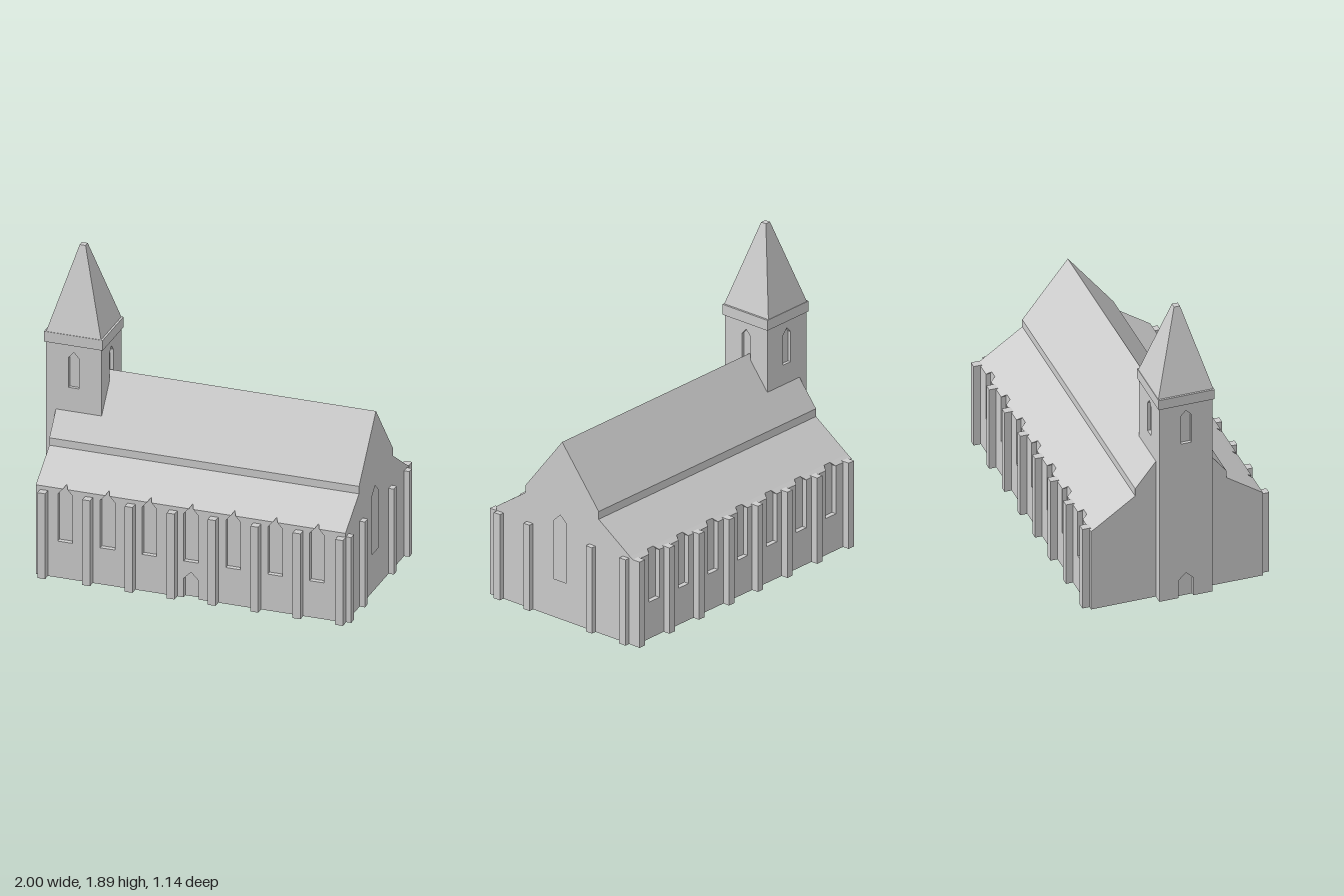
import * as THREE from 'three';

const stone = new THREE.MeshStandardMaterial({ color: 0xcccccc });
stone.name = 'stoneGrey';

const BODY = { x0: -0.93, x1: 0.965, recess: 0.03 };
const WINDOWS = [-0.75, -0.492, -0.235, 0.02, 0.278, 0.535, 0.79];
const BUTTRESSES = [-0.88, -0.605, -0.345, -0.088, 0.163, 0.425, 0.683, 0.943];

function add(parent, name, geometry, x = 0, y = 0, z = 0) {
  const mesh = new THREE.Mesh(geometry, stone);
  mesh.name = name;
  mesh.position.set(x, y, z);
  parent.add(mesh);
  return mesh;
}

function box(parent, name, x0, x1, y0, y1, z0, z1) {
  return add(parent, name, new THREE.BoxGeometry(x1 - x0, y1 - y0, z1 - z0),
    (x0 + x1) / 2, (y0 + y1) / 2, (z0 + z1) / 2);
}

const shapeOf = (pts) => new THREE.Shape(pts.map(([x, y]) => new THREE.Vector2(x, y)));
const extrude = (shape, depth) => new THREE.ExtrudeGeometry(shape, { depth, bevelEnabled: false });

// Opening with a pointed head: bottom left, up over the tip, down to bottom right
const lancet = (c, w, y0, shoulder, tip) =>
  [[c - w, y0], [c - w, shoulder], [c, tip], [c + w, shoulder], [c + w, y0]];

// Long side wall whose window recesses cut up through the sloping eave
function sideWall(side, eave, innerEave, doors) {
  const w = 0.045, shoulder = 0.53, tip = 0.58;
  const halfAt = (y) => Math.max(0, Math.min(w, w * (tip - y) / (tip - shoulder)));
  const outer = halfAt(eave), inner = halfAt(innerEave);
  const ends = [BODY.x0 * side, BODY.x1 * side].sort((a, b) => a - b);
  const centres = WINDOWS.map((c) => c * side).sort((a, b) => a - b);
  const pts = [[ends[0], 0]];
  for (const c of doors) pts.push(...lancet(c, 0.045, 0, 0.12, 0.165));
  pts.push([ends[1], 0], [ends[1], eave]);
  for (const c of [...centres].reverse()) {
    pts.push([c + outer, eave], [c + w, shoulder], [c + w, 0.23],
      [c - w, 0.23], [c - w, shoulder], [c - outer, eave]);
  }
  pts.push([ends[0], eave]);
  const geometry = extrude(shapeOf(pts), BODY.recess);
  // Raise the inner top edge to the roof slope and narrow the cut towards its tip
  const p = geometry.attributes.position;
  for (let i = 0; i < p.count; i++) {
    if (p.getZ(i) > 0.001 || Math.abs(p.getY(i) - eave) > 1e-5) continue;
    const x = p.getX(i);
    const c = centres.find((v) => Math.abs(v - x) < w + 0.001);
    if (c !== undefined) p.setX(i, c + Math.sign(x - c) * inner);
    p.setY(i, innerEave);
  }
  geometry.computeVertexNormals();
  return geometry;
}

function createNave() {
  const nave = new THREE.Group();
  nave.name = 'nave';

  // Gable section, as [z, y]
  const section = [[0.49, 0], [0.49, 0.586], [0.297, 0.718], [0.297, 0.765], [0.018, 1.12],
    [-0.26, 0.765], [-0.26, 0.716], [-0.5, 0.551], [-0.5, 0]].map(([z, y]) => [-z, y]);
  const split = BODY.x1 - BODY.recess;
  add(nave, 'naveBody', extrude(shapeOf(section), split - BODY.x0).rotateY(Math.PI / 2), BODY.x0);

  // End gable with a tall recessed window
  const gable = shapeOf(section);
  gable.holes.push(shapeOf(lancet(-0.032, 0.048, 0.24, 0.61, 0.655)));
  add(nave, 'endGable', extrude(gable, BODY.recess).rotateY(Math.PI / 2), split);

  // Side walls
  add(nave, 'frontWall', sideWall(1, 0.565, 0.586, [0.02]), 0, 0, 0.49);
  add(nave, 'backWall', sideWall(-1, 0.532, 0.551, []), 0, 0, -0.5).rotation.y = Math.PI;

  // Buttresses along both sides and the end gable
  for (const x of BUTTRESSES) {
    box(nave, 'frontButtress', x - 0.0235, x + 0.0235, 0, 0.54, 0.51, 0.567);
    box(nave, 'backButtress', x - 0.0235, x + 0.0235, 0, 0.54, -0.573, -0.52);
  }
  for (const z of [0.488, 0.263, -0.213, -0.468]) {
    box(nave, 'endButtress', 0.955, 0.997, 0, 0.54, z - 0.0235, z + 0.0235);
  }
  return nave;
}

function createTower() {
  const tower = new THREE.Group();
  tower.name = 'tower';
  tower.position.set(-0.82, 0, 0.028);
  const hx = 0.17, hz = 0.162, top = 1.35, d = 0.02;

  box(tower, 'towerCore', -hx + d, hx - d, 0, top, -hz + d, hz - d);

  // Four faces, each with a recessed belfry window; the outer face also has a door
  const faces = [
    ['towerFront', 0, hx, hz], ['towerLeft', 1, hz - d, hx],
    ['towerBack', 2, hx, hz], ['towerRight', 3, hz - d, hx],
  ];
  for (const [name, turn, half, out] of faces) {
    const door = name === 'towerRight' ? lancet(0, 0.045, 0, 0.12, 0.165) : [];
    const shape = shapeOf([[-half, 0], ...door, [half, 0], [half, top], [-half, top]]);
    shape.holes.push(shapeOf(lancet(0, 0.032, 1.05, 1.24, 1.275)));
    const geometry = extrude(shape, d).translate(0, 0, out - d).rotateY(turn * Math.PI / 2);
    add(tower, name, geometry);
  }

  // Cornice and spire
  box(tower, 'cornice', -0.18, 0.18, 1.32, 1.385, -0.171, 0.171);
  const spire = new THREE.CylinderGeometry(0.018 * Math.SQRT2, 0.168 * Math.SQRT2, 0.508, 4)
    .rotateY(Math.PI / 4).toNonIndexed();
  spire.computeVertexNormals();
  add(tower, 'spire', spire, 0, 1.385 + 0.254, 0);
  return tower;
}

export function createModel() {
  const model = new THREE.Group();
  model.name = 'church';
  model.add(createNave(), createTower());
  return model;
}
